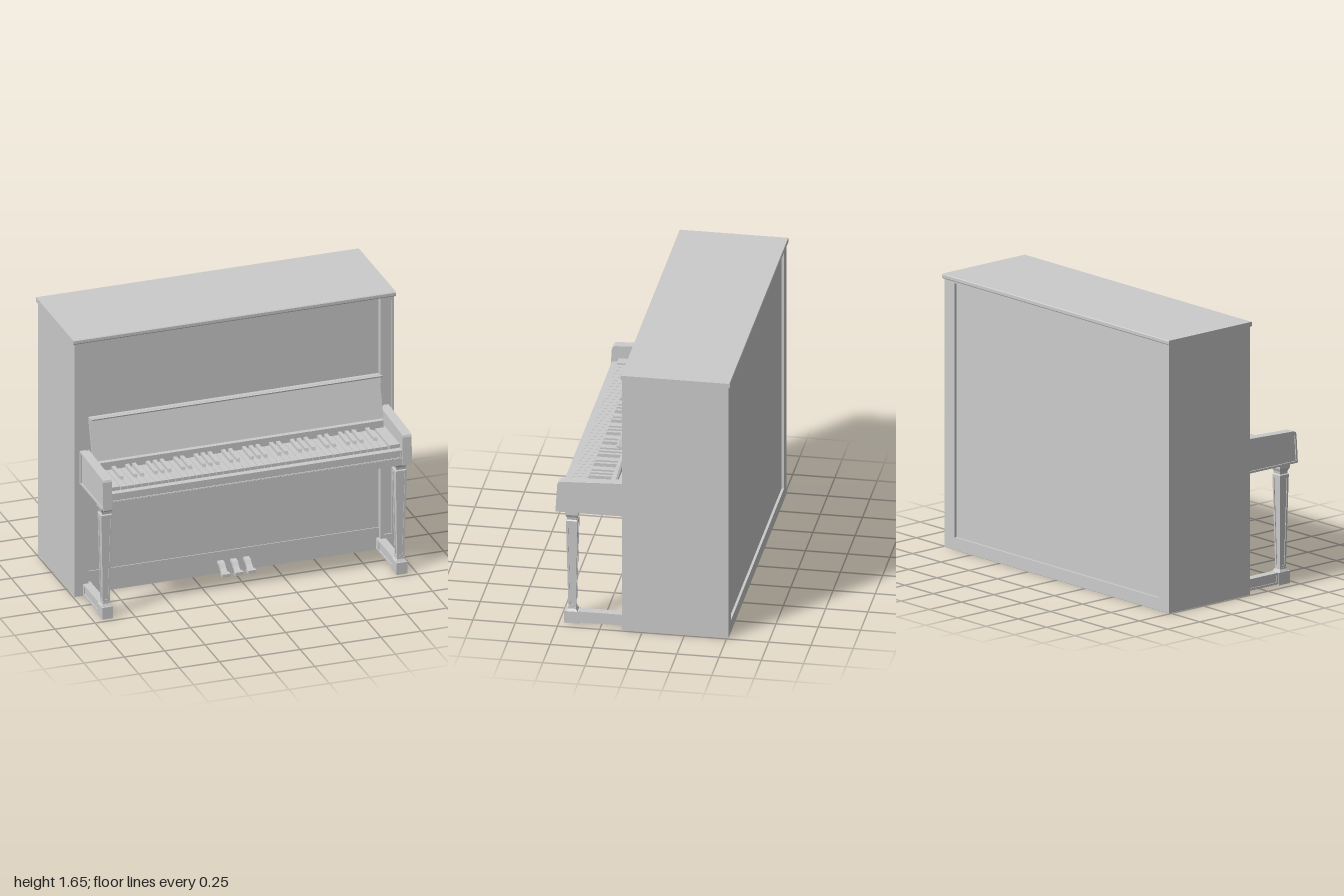
import * as THREE from 'three';

const material = new THREE.MeshStandardMaterial({ color: 0xcccccc, flatShading: true });

function add(parent, name, geometry, x = 0, y = 0, z = 0) {
  const m = new THREE.Mesh(geometry, material);
  m.name = name;
  m.position.set(x, y, z);
  parent.add(m);
  return m;
}

// Box given by its limits on each axis
function box(parent, name, x0, x1, y0, y1, z0, z1) {
  return add(parent, name, new THREE.BoxGeometry(Math.abs(x1 - x0), y1 - y0, z1 - z0),
    (x0 + x1) / 2, (y0 + y1) / 2, (z0 + z1) / 2);
}

const toPoints = (list) => list.map(([x, y]) => new THREE.Vector2(x, y));
const rect = (x0, x1, y0, y1) => [[x0, y0], [x1, y0], [x1, y1], [x0, y1]];

// Flat outline, optionally with an opening, extruded along +z
function plate(outer, inner, depth) {
  const shape = new THREE.Shape(toPoints(outer));
  if (inner) shape.holes.push(new THREE.Path(toPoints(inner)));
  return new THREE.ExtrudeGeometry(shape, { depth, bevelEnabled: false });
}

// Plate drawn in (z, y) that faces outwards on side s, starting at distance x
function sidePlate(parent, name, s, x, outer, inner, depth) {
  const flip = (list) => list && list.map(([z, y]) => [-s * z, y]);
  const m = add(parent, name, plate(flip(outer), flip(inner), depth), s * x);
  m.rotation.y = s * Math.PI / 2;
  return m;
}

// Square turned profile: [half width, y]
function squareLathe(profile) {
  return new THREE.LatheGeometry(
    toPoints(profile.map(([w, y]) => [w * Math.SQRT2, y])), 4).rotateY(Math.PI / 4);
}

function buildCase(g) {
  box(g, 'caseCore', -0.905, 0.905, 0, 1.625, -0.495, 0.09);
  box(g, 'kickBoard', -0.905, 0.905, 0, 0.14, 0.09, 0.096);
  add(g, 'backFrame', plate(rect(-0.905, 0.905, 0, 1.625), rect(-0.9, 0.9, 0.075, 1.61), 0.015), 0, 0, -0.51);
  for (const s of [-1, 1]) {
    box(g, 'caseSide', s * 0.905, s * 0.99, 0, 1.625, -0.51, 0.112);
    const [a, b] = [s * 0.905, s * 0.99];
    add(g, 'stileFrame', plate(rect(a, b, 0, 1.625), rect(s * 0.923, s * 0.975, 0.1, 1.6), 0.008), 0, 0, 0.112);
  }
  // Lid with a rounded edge
  const lid = [[-0.517, 1.622], [0.122, 1.622], [0.126, 1.628], [0.126, 1.645], [0.122, 1.65],
    [-0.517, 1.65], [-0.52, 1.645], [-0.52, 1.628]];
  sidePlate(g, 'lid', 1, -1, lid, null, 2);
}

function buildKeyboard(g) {
  box(g, 'keybed', -0.905, 0.905, 0.72, 0.765, 0.09, 0.51);
  box(g, 'keySlip', -0.905, 0.905, 0.765, 0.815, 0.468, 0.5);
  add(g, 'keySlipFrame', plate(rect(-0.905, 0.905, 0.76, 0.815), rect(-0.89, 0.89, 0.768, 0.803), 0.007), 0, 0, 0.5);
  box(g, 'keyRest', -0.84, 0.84, 0.765, 0.8, 0.12, 0.46);
  box(g, 'keyRail', -0.89, 0.89, 0.765, 0.882, 0.09, 0.217);
  for (const s of [-1, 1]) box(g, 'keyBlock', s * 0.835, s * 0.905, 0.765, 0.838, 0.2, 0.468);

  // White keys start on A; black keys follow A, C, D, F and G
  const count = 39, pitch = 0.0425, start = -count * pitch / 2;
  const hasBlack = [true, false, true, true, false, true, true];
  for (let i = 0; i < count; i++) {
    const x = start + i * pitch;
    box(g, 'whiteKey', x + 0.0015, x + pitch - 0.0015, 0.8, 0.832, 0.21, 0.463);
    if (hasBlack[i % 7] && i < count - 1) {
      const c = x + pitch;
      const profile = [[0.21, 0.83], [0.37, 0.83], [0.362, 0.851], [0.21, 0.853]];
      sidePlate(g, 'blackKey', 1, c - 0.011, profile, null, 0.022);
    }
  }

  // Sloping board behind the keys with a lip along its top
  sidePlate(g, 'fallboard', 1, -0.9,
    [[0.187, 0.882], [0.117, 1.122], [0.105, 1.118], [0.173, 0.882]], null, 1.8);
  sidePlate(g, 'fallboardLip', 1, -0.9,
    [[0.09, 1.122], [0.115, 1.12], [0.168, 1.137], [0.17, 1.145], [0.163, 1.146], [0.11, 1.13], [0.09, 1.13]], null, 1.8);
}

function buildArm(g, s) {
  const outer = [[0.09, 0.72], [0.52, 0.72], [0.509, 0.895], [0.503, 0.908], [0.49, 0.914], [0.12, 0.93], [0.09, 0.93]];
  const inner = [[0.132, 0.732], [0.508, 0.732], [0.498, 0.89], [0.488, 0.902], [0.132, 0.918]];
  sidePlate(g, 'arm', s, 0.9, outer, null, 0.05);
  sidePlate(g, 'armFrame', s, 0.95, outer, inner, 0.007);
}

function buildLeg(g, s) {
  const leg = new THREE.Group();
  leg.name = 'frontLeg';
  leg.position.set(s * 0.912, 0, 0.425);
  g.add(leg);
  box(leg, 'foot', -0.033, 0.033, 0, 0.075, -0.04, 0.045);
  add(leg, 'footCap', squareLathe([[0, 0.07], [0.033, 0.075], [0.024, 0.09], [0.024, 0.1], [0, 0.1]]));
  add(leg, 'shaft', squareLathe([[0.017, 0.09], [0.029, 0.65]]));
  add(leg, 'capital', squareLathe([[0, 0.645], [0.034, 0.65], [0.034, 0.66], [0.028, 0.666],
    [0.03, 0.682], [0.038, 0.7], [0.038, 0.722]]));
  // Raised border round each tapered face
  const border = plate(
    [[-0.022, 0], [0.022, 0], [0.034, 0.552], [-0.034, 0.552]],
    [[-0.011, 0.012], [0.011, 0.012], [0.022, 0.538], [-0.022, 0.538]], 0.006);
  border.translate(0, 0, -0.006).rotateX(Math.atan(0.012 / 0.55)).translate(0, 0.1, 0.022);
  for (let i = 0; i < 4; i++) add(leg, 'shaftBorder', border).rotation.y = i * Math.PI / 2;

  // Rail from the foot back to the case
  box(g, 'footRail', s * 0.892, s * 0.932, 0.006, 0.075, 0.09, 0.388);
  const opening = rect(0.137, 0.375, 0.018, 0.063);
  sidePlate(g, 'footRailFrame', s, 0.932, rect(0.09, 0.388, 0.006, 0.075), opening, 0.006);
  sidePlate(g, 'footRailFrame', -s, -0.892, rect(0.09, 0.388, 0.006, 0.075), opening, 0.006);
}

function buildPedal(g, x) {
  const stem = [[0.09, 0.065], [0.12, 0.06], [0.145, 0.038], [0.165, 0.025], [0.2, 0.022],
    [0.2, 0.034], [0.17, 0.04], [0.15, 0.055], [0.128, 0.078], [0.09, 0.083]];
  sidePlate(g, 'pedalStem', 1, x - 0.018, stem, null, 0.036);
  box(g, 'pedalToe', x - 0.025, x + 0.025, 0.02, 0.04, 0.17, 0.205);
}

export function createModel() {
  const g = new THREE.Group();
  g.name = 'uprightPiano';
  buildCase(g);
  buildKeyboard(g);
  for (const s of [-1, 1]) {
    buildArm(g, s);
    buildLeg(g, s);
  }
  for (const x of [-0.08, 0, 0.08]) buildPedal(g, x);
  return g;
}
